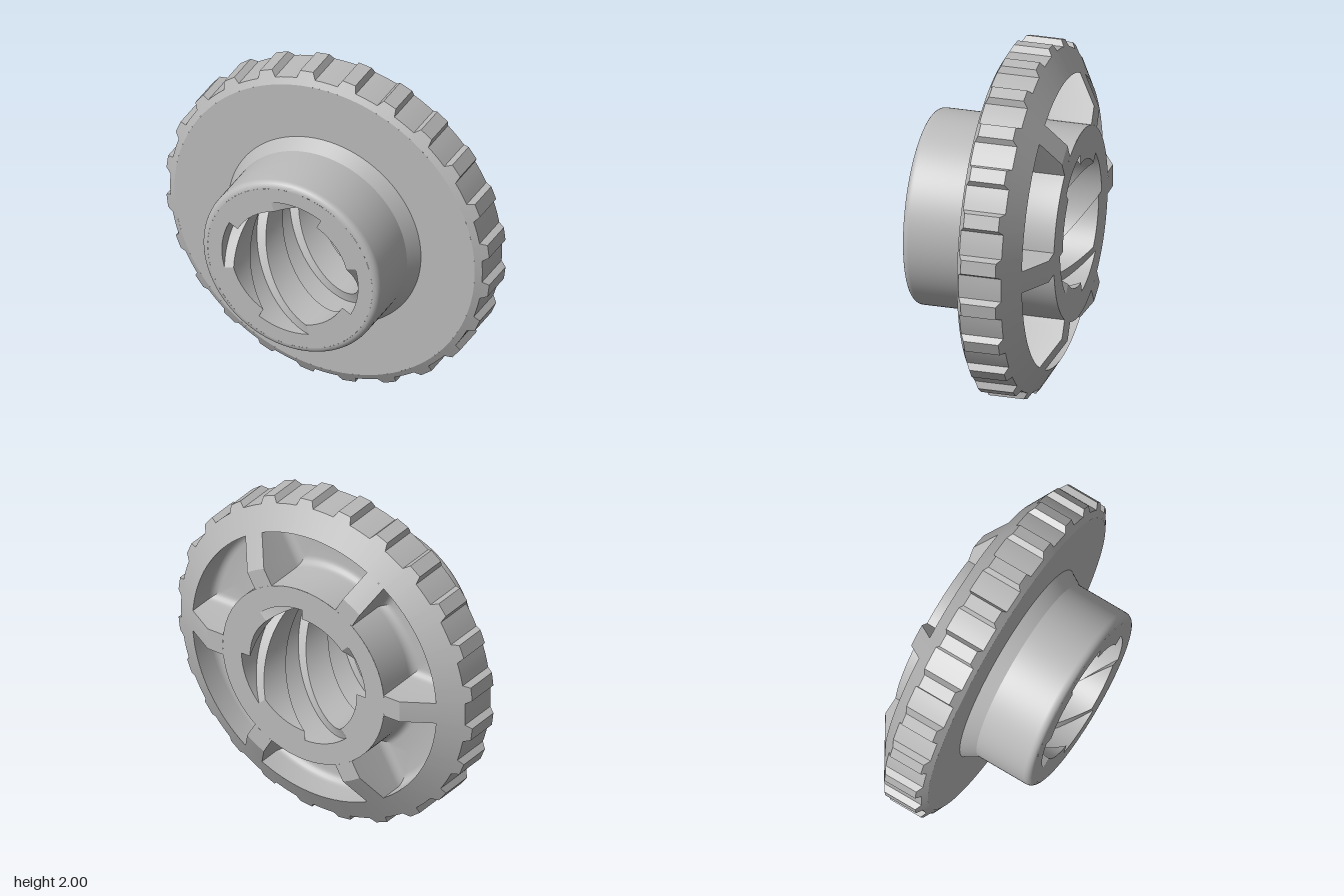
import * as THREE from 'three';
import { toCreasedNormals } from 'three/addons/utils/BufferGeometryUtils.js';

const RAD = Math.PI / 180;
const FRONT = 0.437, BACK = -0.44;            // ends of the hub along z
const HUB = 0.55, POCKET = 0.83;              // inner and outer radius of the pockets
const SPOKE = 0.065;                          // half width of a spoke
const backZ = r => Math.max(BACK, -0.335 + (r - POCKET) * 0.6);   // sloping back face
const frontZ = r => 0.01 - (r - 0.93) * 0.54;                     // chamfered front edge

const polar = (r, a, z) => [r * Math.cos(a), r * Math.sin(a), z];

// Joins successive loops of points with quads, keeping hard edges sharp
function loft(loops, closed = true) {
  const pos = [];
  for (let i = 0; i < loops.length - 1; i++) {
    const A = loops[i], B = loops[i + 1], n = A.length;
    for (let j = 0; j < (closed ? n : n - 1); j++) {
      const k = (j + 1) % n;
      pos.push(...A[j], ...B[j], ...A[k], ...A[k], ...B[j], ...B[k]);
    }
  }
  const g = new THREE.BufferGeometry();
  g.setAttribute('position', new THREE.Float32BufferAttribute(pos, 3));
  return toCreasedNormals(g, 0.4);
}

// Pocket outline, shrunk by d, as an angular sector with parallel sides
function pocketLoop(d, zOf) {
  const ri = HUB + d, ro = POCKET - d, pts = [];
  const half = r => Math.PI / 6 - Math.asin((SPOKE + d) / r);
  const add = (r, s) => pts.push(polar(r, s * half(r), zOf(r)));
  for (let i = 0; i < 16; i++) add(ro, -1 + i / 8);
  for (let i = 0; i < 8; i++) add(ro + (ri - ro) * i / 8, 1);
  for (let i = 0; i < 16; i++) add(ri, 1 - i / 8);
  for (let i = 0; i < 8; i++) add(ri + (ro - ri) * i / 8, -1);
  return pts;
}

export function createModel() {
  const model = new THREE.Group();
  model.name = 'toothedWheel';
  const wheel = new THREE.Group();
  wheel.name = 'wheel';
  wheel.position.y = 1;
  model.add(wheel);
  const grey = new THREE.MeshStandardMaterial({ color: 0xbababa });
  grey.name = 'plainGrey';
  const add = (name, geometry, parent = wheel) => {
    const m = new THREE.Mesh(geometry, grey);
    m.name = name;
    parent.add(m);
    return m;
  };

  // Boss and flat front of the disc
  const round = Array.from({ length: 120 }, (_, i) => i * 3 * RAD);
  const ring = (r, z, angles = round) => angles.map(a => polar(r, a, z));
  const bossRings = [];
  const fillet = 0.04;
  for (let i = 0; i <= 6; i++) {
    const t = i / 6 * Math.PI / 2;
    bossRings.push(ring(HUB - fillet + fillet * Math.sin(t), FRONT - fillet + fillet * Math.cos(t)));
  }
  bossRings.push(ring(HUB, 0.09), ring(0.597, 0.01), ring(0.93, 0.01));
  add('bossAndFrontFace', loft(bossRings));

  // Rim with 24 teeth, chamfered front and back
  const rim = [];
  for (let t = 0; t < 24; t++) {
    for (const [off, r] of [[-3.4, 0.967], [-2.3, 1.004], [2.3, 1.004], [3.4, 0.967],
      [5.5, 0.967], [7.5, 0.967], [9.5, 0.967]]) rim.push([(t * 15 + 7.5 + off) * RAD, r]);
  }
  add('toothedRim', loft([
    rim.map(([a]) => polar(0.93, a, 0.01)),
    rim.map(([a, r]) => polar(r, a, frontZ(r))),
    rim.map(([a, r]) => polar(r, a, backZ(r))),
    rim.map(([a]) => polar(POCKET, a, backZ(POCKET))),
  ]));

  // Bore with four helical grooves
  const section = [];
  for (let s = 0; s < 4; s++) {
    for (let i = 0; i <= 8; i++) section.push([(63 + 43 * i / 8 + s * 90) * RAD, 0.422]);
    for (let i = 0; i <= 8; i++) section.push([(106 + 47 * i / 8 + s * 90) * RAD, 0.363]);
  }
  const turn = z => (z - FRONT) * 225 * RAD;
  const boreLoop = z => section.map(([a, r]) => polar(r, a + turn(z), z));
  const outerLoop = (r, z) => section.map(([a]) => polar(r, a + turn(z), z));
  const boreLoops = [];
  for (let i = 0; i <= 40; i++) boreLoops.push(boreLoop(BACK + (FRONT - BACK) * i / 40));
  add('groovedBore', loft(boreLoops));
  add('bossEnd', loft([boreLoop(FRONT), outerLoop(HUB - fillet, FRONT)]));
  add('hubBackFace', loft([outerLoop(HUB, BACK), boreLoop(BACK)]));

  // Six spokes and six filleted pockets on the back
  const floor = -0.15, f = 0.05;
  const pocketLoops = [pocketLoop(0, backZ)];
  for (let i = 0; i <= 5; i++) {
    const t = i / 5 * Math.PI / 2;
    pocketLoops.push(pocketLoop(f * (1 - Math.cos(t)), () => floor - f + f * Math.sin(t)));
  }
  pocketLoops.push(pocketLoop((POCKET - HUB) / 2, () => floor));
  const pocketGeo = loft(pocketLoops);
  const spokeGeo = loft([POCKET, 0.655, HUB].map(r =>
    [-1, -0.5, 0, 0.5, 1].map(s => polar(r, s * Math.asin(SPOKE / r), backZ(r)))), false);
  for (let i = 0; i < 6; i++) {
    add('spoke', spokeGeo).rotation.z = i * Math.PI / 3;
    add('pocket', pocketGeo).rotation.z = (i + 0.5) * Math.PI / 3;
  }
  return model;
}
